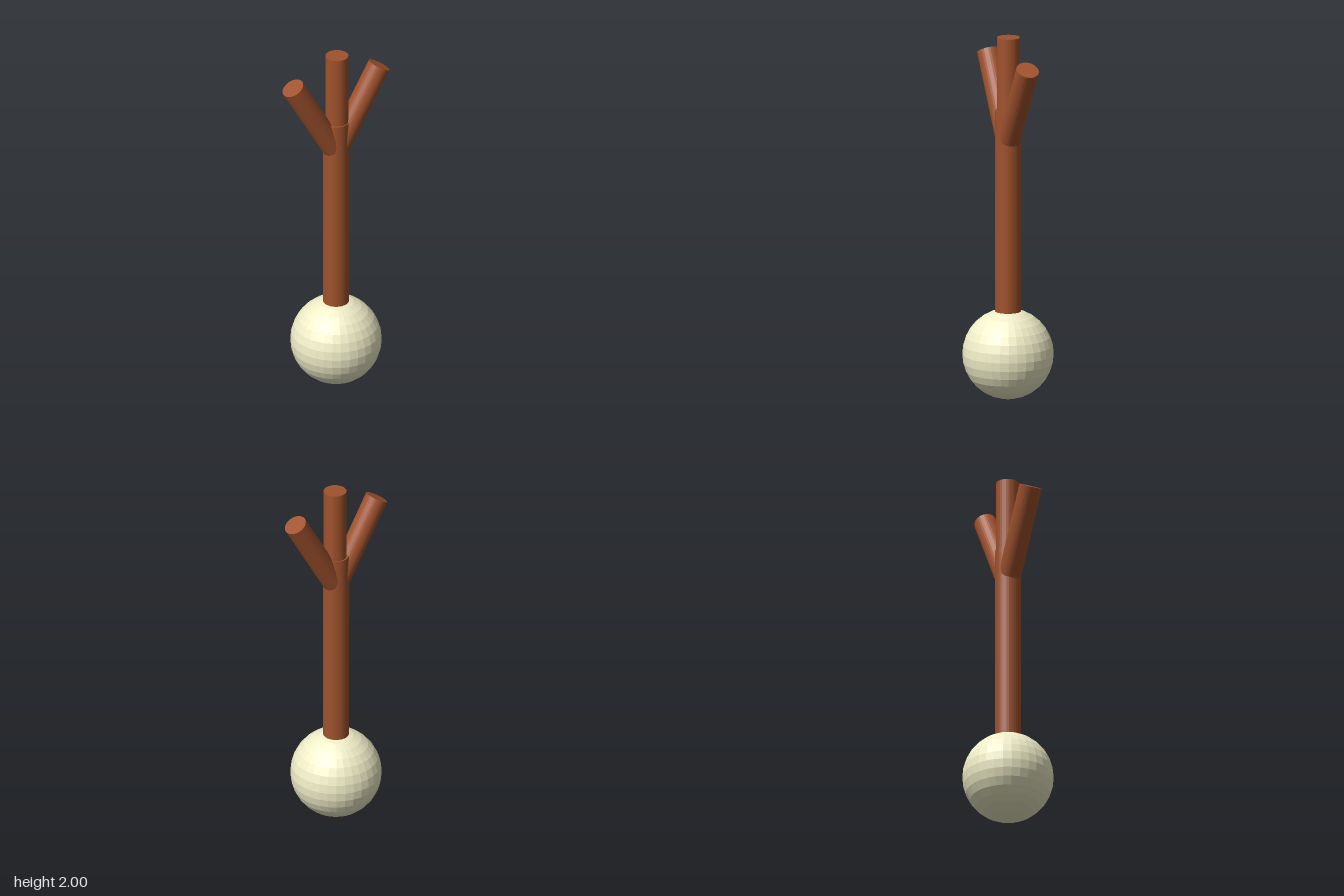
import * as THREE from 'three';

const wood = new THREE.MeshStandardMaterial({ color: 0xa0522d, flatShading: true });
const ivory = new THREE.MeshStandardMaterial({ color: 0xf0eec8, flatShading: true });

// Capped cylinder running from one point to another
function rod(name, radius, from, to) {
  const a = new THREE.Vector3(...from);
  const b = new THREE.Vector3(...to);
  const dir = b.clone().sub(a);
  const mesh = new THREE.Mesh(new THREE.CylinderGeometry(radius, radius, dir.length(), 32), wood);
  mesh.name = name;
  mesh.position.copy(a).add(b).multiplyScalar(0.5);
  mesh.quaternion.setFromUnitVectors(new THREE.Vector3(0, 1, 0), dir.normalize());
  return mesh;
}

export function createModel() {
  const group = new THREE.Group();
  group.name = 'forkedStaff';

  // Faceted ball the staff stands on
  const ball = new THREE.Mesh(new THREE.SphereGeometry(0.247, 32, 16), ivory);
  ball.name = 'baseBall';
  ball.position.y = 0.247;
  group.add(ball);

  // Main shaft, sunk slightly into the ball
  group.add(rod('shaft', 0.07, [0, 0.46, 0], [0, 1.595, 0]));

  // Middle prong, a touch off-centre
  group.add(rod('middleProng', 0.062, [0.006, 1.5, 0], [0.006, 2, 0]));

  // Side prongs leaning out 30 degrees
  for (const [name, side] of [['leftProng', 1], ['rightProng', -1]]) {
    group.add(rod(name, 0.062, [0, 1.411, 0], [side * 0.266, 1.872, 0]));
  }

  return group;
}
